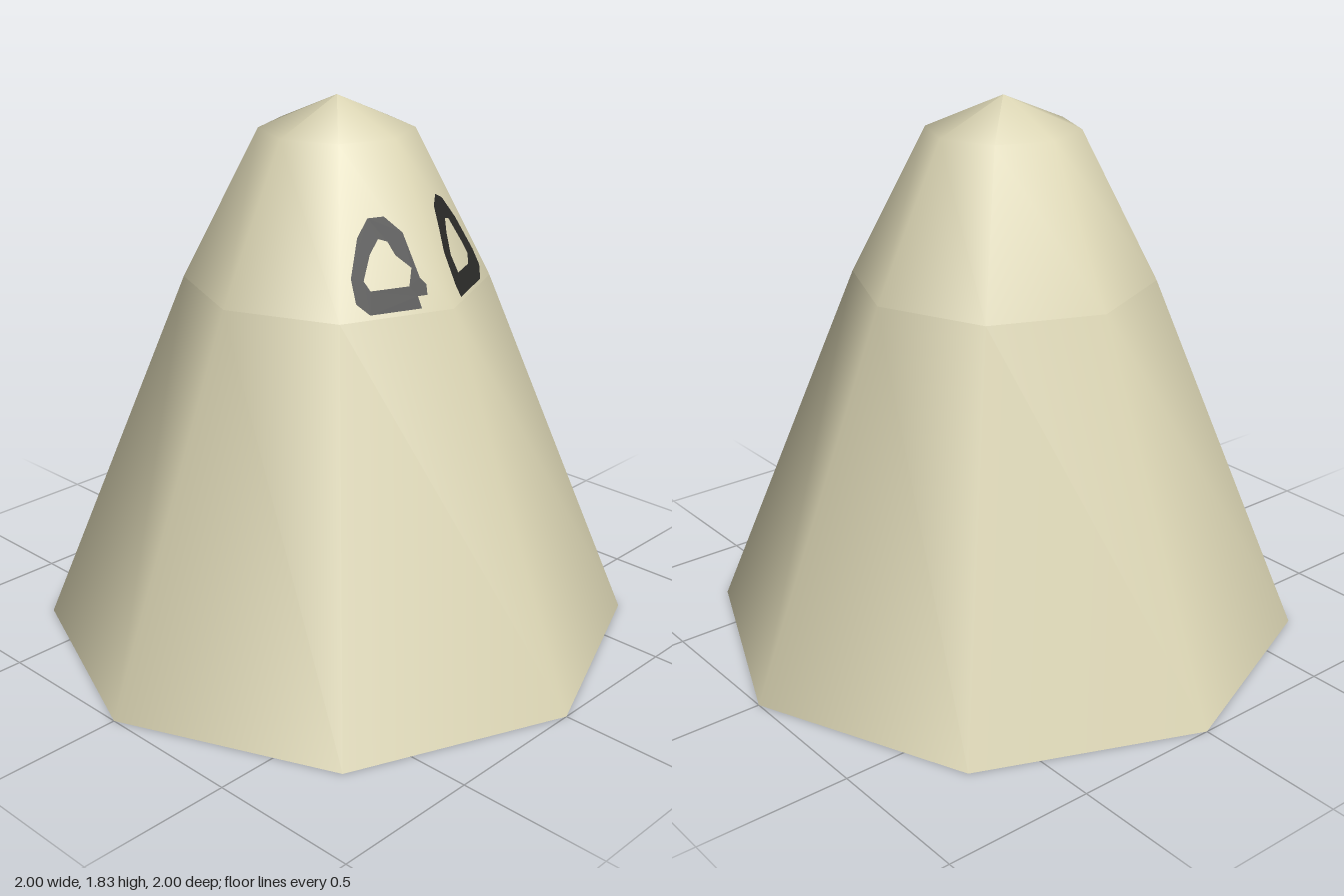
import * as THREE from 'three';

const SIDES = 8;
const WAIST_Y = 1.23, WAIST_R = 0.5, CROWN_Y = 1.72, CROWN_R = 0.25;

export function createModel() {
  const group = new THREE.Group();
  const cloth = new THREE.MeshStandardMaterial({ color: 0xdad4b3, side: THREE.DoubleSide });
  cloth.name = 'pale cloth';
  const dark = new THREE.MeshStandardMaterial({ color: 0x2a2a28, side: THREE.DoubleSide });
  dark.name = 'eye outline';

  // Octagonal surface of revolution with smooth normals
  const turned = (name, profile) => {
    const points = profile.map(([r, y]) => new THREE.Vector2(r, y));
    const mesh = new THREE.Mesh(new THREE.LatheGeometry(points, SIDES), cloth);
    mesh.name = name;
    group.add(mesh);
  };
  turned('skirt', [[1, 0], [WAIST_R, WAIST_Y]]);
  turned('head', [[WAIST_R, WAIST_Y], [CROWN_R, CROWN_Y], [0, 1.825]]);

  // Eye ring drawn as (distance from the middle, height), laid on a sloping head panel
  const eye = (name, side, outer, inner) => {
    const toPoints = (list) => list.map(([u, v]) => new THREE.Vector2(u, v));
    const shape = new THREE.Shape(toPoints(outer));
    shape.holes.push(new THREE.Path(toPoints(inner)));
    const geometry = new THREE.ShapeGeometry(shape);
    const pos = geometry.attributes.position;
    for (let i = 0; i < pos.count; i++) {
      const u = pos.getX(i), v = pos.getY(i);
      const t = (v - WAIST_Y) / (CROWN_Y - WAIST_Y);
      const r = WAIST_R + (CROWN_R - WAIST_R) * t;
      pos.setXYZ(i, r - u * Math.tan(Math.PI / SIDES) + 0.006, v, side * u);
    }
    // Keep the triangles of the +z panel facing outwards
    if (side > 0) {
      const index = geometry.index;
      for (let i = 0; i < index.count; i += 3) {
        const a = index.getX(i);
        index.setX(i, index.getX(i + 1));
        index.setX(i + 1, a);
      }
    }
    geometry.computeVertexNormals();
    const mesh = new THREE.Mesh(geometry, dark);
    mesh.name = name;
    group.add(mesh);
  };
  eye('leftEye', 1,
    [[0.1, 1.245], [0.26, 1.245], [0.29, 1.28], [0.28, 1.35], [0.22, 1.46], [0.17, 1.51],
      [0.12, 1.51], [0.08, 1.46], [0.075, 1.33], [0.062, 1.31], [0.07, 1.28], [0.1, 1.28]],
    [[0.115, 1.31], [0.235, 1.31], [0.245, 1.34], [0.2, 1.41], [0.16, 1.45], [0.135, 1.44],
      [0.125, 1.4], [0.09, 1.36]]);
  eye('rightEye', -1,
    [[0.07, 1.245], [0.26, 1.245], [0.29, 1.28], [0.28, 1.33], [0.23, 1.44], [0.18, 1.51],
      [0.14, 1.53], [0.1, 1.505], [0.08, 1.44], [0.058, 1.38], [0.06, 1.28]],
    [[0.11, 1.305], [0.205, 1.305], [0.23, 1.33], [0.215, 1.37], [0.175, 1.45], [0.15, 1.455],
      [0.125, 1.42], [0.1, 1.36]]);

  return group;
}
